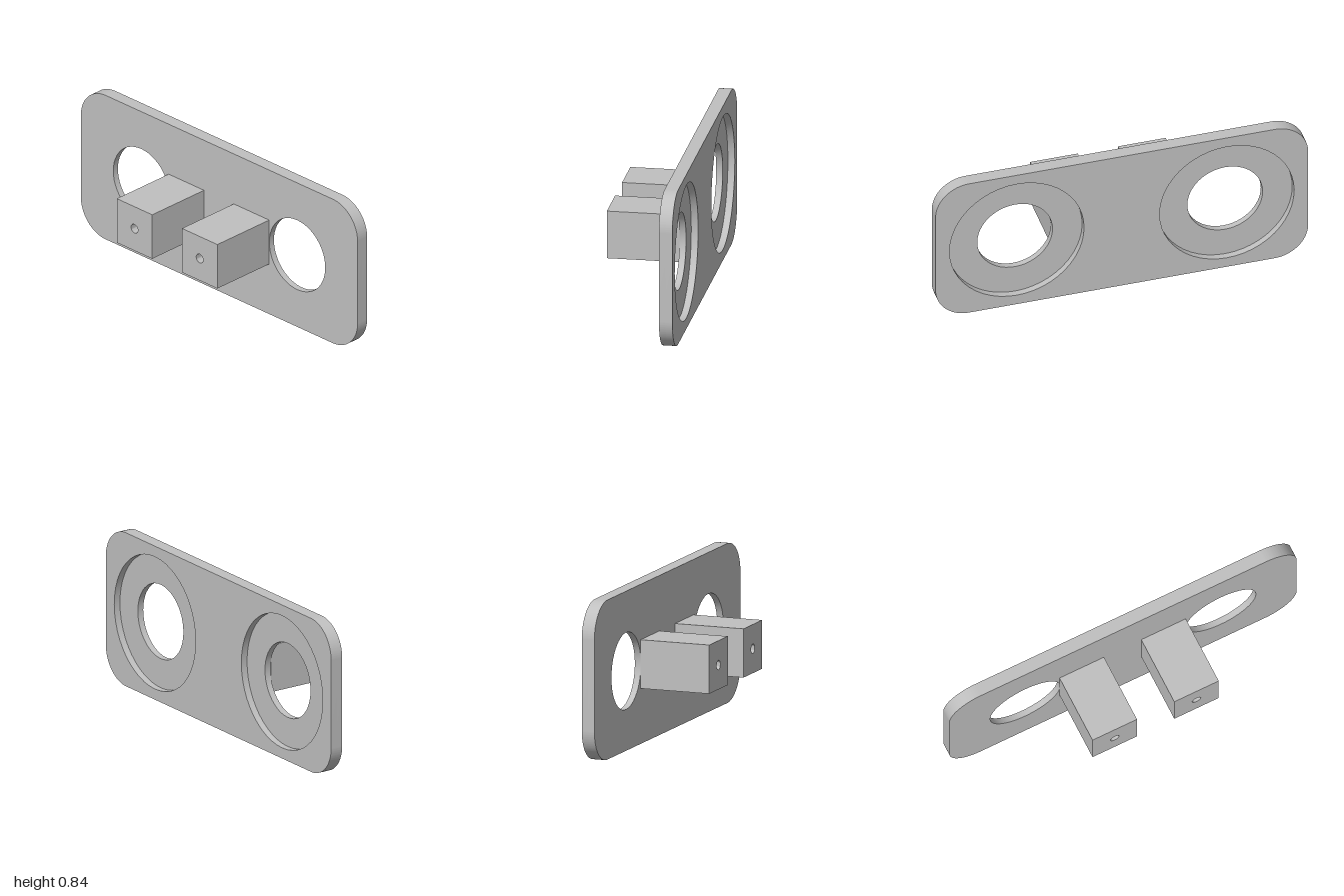
import * as THREE from 'three';
import { toCreasedNormals } from 'three/addons/utils/BufferGeometryUtils.js';

const MID_Y = 0.419;      // height of the plate's centre line
const BACK_X = 0.155, STEP_X = 0.189, FACE_X = 0.225;
const SOCKET_Z = 0.564;

const grey = new THREE.MeshStandardMaterial({ color: 0xc0c0c0 });
grey.name = 'plain grey';

// Rectangle centred on the origin, corners rounded by r
function roundedRect(w, h, r) {
  const s = new THREE.Shape();
  const a = w / 2 - r, b = h / 2 - r;
  s.absarc(a, -b, r, -Math.PI / 2, 0);
  s.absarc(a, b, r, 0, Math.PI / 2);
  s.absarc(-a, b, r, Math.PI / 2, Math.PI);
  s.absarc(-a, -b, r, Math.PI, Math.PI * 1.5);
  s.closePath();
  return s;
}

function addHole(shape, x, y, r) {
  shape.holes.push(new THREE.Path().absarc(x, y, r, 0, Math.PI * 2, true));
}

// Extrude a side profile along x, from x0 to x1
function slab(name, shape, x0, x1, z = 0) {
  let geo = new THREE.ExtrudeGeometry(shape, { depth: x1 - x0, bevelEnabled: false, curveSegments: 24 });
  geo.rotateY(Math.PI / 2);
  geo = toCreasedNormals(geo, 0.6);
  const mesh = new THREE.Mesh(geo, grey);
  mesh.name = name;
  mesh.position.set(x0, MID_Y, z);
  return mesh;
}

// One layer of the plate with a pair of round openings
function plateLayer(name, holeRadius, x0, x1) {
  const shape = roundedRect(2, MID_Y * 2, 0.18);
  for (const side of [-1, 1]) addHole(shape, side * SOCKET_Z, 0, holeRadius);
  return slab(name, shape, x0, x1);
}

export function createModel() {
  const model = new THREE.Group();
  model.name = 'mountingPlate';

  // Plate: narrow through holes behind, wide recesses on the face
  model.add(plateLayer('plateBack', 0.202, BACK_X, STEP_X));
  model.add(plateLayer('plateFace', 0.361, STEP_X, FACE_X));

  // Two square posts, each with a small screw hole in its end
  for (const [name, z] of [['frontPost', 0.233], ['rearPost', -0.238]]) {
    const h = 0.128;
    const shape = new THREE.Shape([
      new THREE.Vector2(-h, -h), new THREE.Vector2(h, -h),
      new THREE.Vector2(h, h), new THREE.Vector2(-h, h),
    ]);
    addHole(shape, 0, 0, 0.025);
    model.add(slab(name, shape, -0.226, BACK_X, z));
  }
  return model;
}
